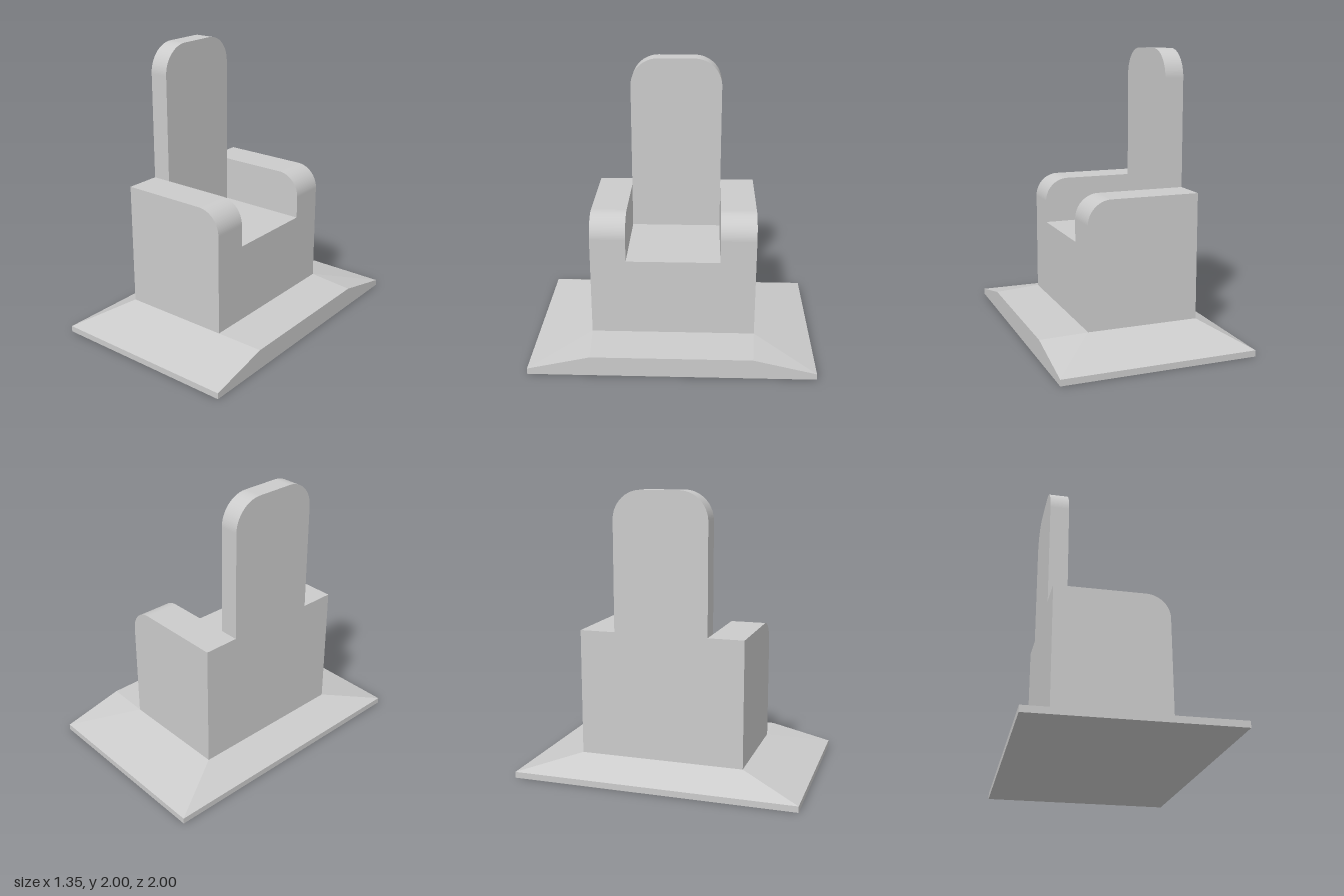
import * as THREE from 'three';
import { ConvexGeometry } from 'three/addons/geometries/ConvexGeometry.js';

const material = new THREE.MeshStandardMaterial({ color: 0xcccccc });

function addMesh(parent, name, geometry) {
  const mesh = new THREE.Mesh(geometry, material);
  mesh.name = name;
  parent.add(mesh);
  return mesh;
}

function extrude(shape, depth) {
  return new THREE.ExtrudeGeometry(shape, { depth, bevelEnabled: false, curveSegments: 16 });
}

export function createModel() {
  const group = new THREE.Group();
  group.name = 'throne';

  const back = -0.455, front = 0.335;  // seat extent in x
  const inner = 0.33, outer = 0.58;    // armrest extent in z
  const plinthTop = 0.158, seatTop = 0.715, armTop = 1.04;

  // Sloped plinth with a thin rim and a raised front face
  const corners = [];
  for (const s of [-1, 1]) {
    for (const y of [0, 0.043]) {
      corners.push(new THREE.Vector3(-0.685, y, s), new THREE.Vector3(0.667, y, s));
    }
    corners.push(
      new THREE.Vector3(back, plinthTop, s * outer),
      new THREE.Vector3(front, plinthTop, s * outer),
      new THREE.Vector3(0.667, 0.143, s * 0.56)
    );
  }
  addMesh(group, 'plinth', new ConvexGeometry(corners));

  // Seat block between the armrests
  const seat = addMesh(group, 'seat',
    new THREE.BoxGeometry(front - back, seatTop - plinthTop, 2 * inner));
  seat.position.set((front + back) / 2, (seatTop + plinthTop) / 2, 0);

  // Armrests, rounded at the top front edge
  const r = 0.165;
  const arm = new THREE.Shape();
  arm.moveTo(back, plinthTop);
  arm.lineTo(front, plinthTop);
  arm.lineTo(front, armTop - r);
  arm.absarc(front - r, armTop - r, r, 0, Math.PI / 2, false);
  arm.lineTo(back, armTop);
  arm.closePath();
  const armGeometry = extrude(arm, outer - inner);
  addMesh(group, 'leftArmrest', armGeometry).position.z = -outer;
  addMesh(group, 'rightArmrest', armGeometry).position.z = inner;

  // Tall backrest with rounded top corners, extruded along x
  const R = 0.2;
  const rest = new THREE.Shape();
  rest.moveTo(-inner, seatTop);
  rest.lineTo(inner, seatTop);
  rest.lineTo(inner, 2 - R);
  rest.absarc(inner - R, 2 - R, R, 0, Math.PI / 2, false);
  rest.absarc(-inner + R, 2 - R, R, Math.PI / 2, Math.PI, false);
  rest.closePath();
  const backrest = addMesh(group, 'backrest', extrude(rest, 0.135));
  backrest.rotation.y = Math.PI / 2;
  backrest.position.x = back;

  return group;
}
